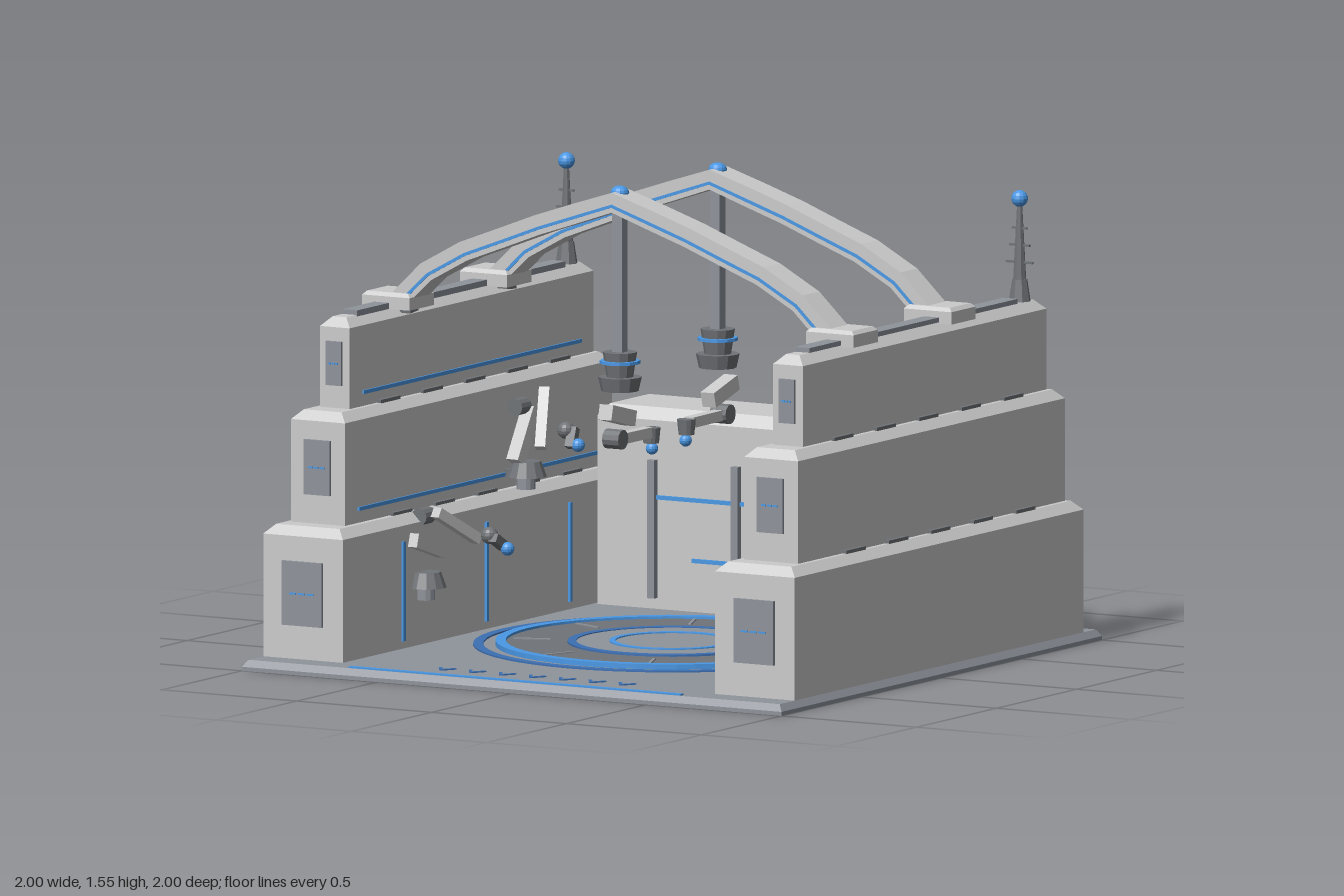
import * as THREE from 'three';

const mat = (color) => new THREE.MeshStandardMaterial({ color, flatShading: true });
const grey = mat(0xcccccc), slate = mat(0x8f949b), dark = mat(0x707377);
const blue = mat(0x4a98e6), navy = mat(0x3d70b4);
const V = (x, y, z) => new THREE.Vector3(x, y, z);

function add(parent, name, geometry, material, x = 0, y = 0, z = 0) {
  const mesh = new THREE.Mesh(geometry, material);
  mesh.name = name;
  mesh.position.set(x, y, z);
  parent.add(mesh);
  return mesh;
}
const box = (p, name, m, w, h, d, x, y, z) => add(p, name, new THREE.BoxGeometry(w, h, d), m, x, y, z);
const drum = (p, name, m, rTop, rBottom, h, x, y, z, sides = 12) =>
  add(p, name, new THREE.CylinderGeometry(rTop, rBottom, h, sides), m, x, y, z);
const ball = (p, name, m, r, v) => add(p, name, new THREE.SphereGeometry(r, 12, 8), m, v.x, v.y, v.z);

// Block standing on y0 with its upper edges chamfered by c (inset) and ch (height)
function block(p, name, m, x0, x1, y0, y1, z0, z1, c, ch = c) {
  const w = x1 - x0, h = y1 - y0, d = z1 - z0;
  const g = new THREE.BoxGeometry(w, h, d, 1, 2, 1);
  const a = g.attributes.position;
  for (let i = 0; i < a.count; i++) {
    if (Math.abs(a.getY(i)) < 1e-6) a.setY(i, h / 2 - ch);
    else if (a.getY(i) > 0) {
      a.setX(i, a.getX(i) - Math.sign(a.getX(i)) * c);
      a.setZ(i, a.getZ(i) - Math.sign(a.getZ(i)) * c);
    }
  }
  const flat = g.toNonIndexed();
  flat.computeVertexNormals();
  return add(p, name, flat, m, (x0 + x1) / 2, (y0 + y1) / 2, (z0 + z1) / 2);
}

// Square bar between two points
function bar(p, name, m, a, b, w, h = w) {
  const mesh = box(p, name, m, w, h, a.distanceTo(b), 0, 0, 0);
  mesh.position.copy(a).lerp(b, 0.5);
  mesh.lookAt(b);
  return mesh;
}

// Flat raised ring lying on the floor
function ring(p, name, m, inner, outer, y, h) {
  const s = new THREE.Shape().absarc(0, 0, outer, 0, Math.PI * 2);
  s.holes.push(new THREE.Path().absarc(0, 0, inner, 0, Math.PI * 2, true));
  const g = new THREE.ExtrudeGeometry(s, { depth: h, bevelEnabled: false, curveSegments: 28 });
  add(p, name, g.rotateX(-Math.PI / 2), m, 0, y, 0);
}

function makeFloor() {
  const g = new THREE.Group();
  g.name = 'floor';
  block(g, 'basePlate', slate, -1, 1, 0, 0.035, -1, 1, 0.015, 0.022);
  drum(g, 'platform', dark, 0.54, 0.54, 0.01, 0, 0.038, 0, 40);
  drum(g, 'innerPlatform', slate, 0.31, 0.31, 0.01, 0, 0.041, 0, 40);
  ring(g, 'outerRing', navy, 0.602, 0.634, 0.033, 0.007);
  ring(g, 'platformRing', blue, 0.53, 0.563, 0.033, 0.018);
  ring(g, 'middleRing', navy, 0.305, 0.333, 0.04, 0.009);
  ring(g, 'centreRing', blue, 0.18, 0.2, 0.04, 0.01);
  for (let i = 0; i < 8; i++) {
    const a = Math.PI / 8 + i * Math.PI / 4;
    const spoke = box(g, 'spoke', slate, 0.12, 0.006, 0.01, Math.cos(a) * 0.45, 0.044, Math.sin(a) * 0.45);
    spoke.rotation.y = -a;
  }
  // Entrance strip and arrow marks
  box(g, 'entranceStrip', blue, 1.23, 0.008, 0.018, 0, 0.036, 0.973);
  for (let i = -3; i <= 3; i++) for (const s of [-1, 1])
    bar(g, 'arrowMark', navy, V(i * 0.111 + s * 0.028, 0.036, 0.835), V(i * 0.111, 0.036, 0.88), 0.011, 0.006);
  return g;
}

// Stepped side wall, built for side s (+1 or -1)
function makeWall(s) {
  const g = new THREE.Group();
  g.name = s > 0 ? 'leftWall' : 'rightWall';
  const tiers = [ // inner x, outer x, bottom, top, back z, front z, panel (w, y0, y1)
    [0.69, 0.985, 0.03, 0.46, -0.91, 0.892, 0.147, 0.143, 0.35],
    [0.74, 0.94, 0.45, 0.82, -0.87, 0.795, 0.097, 0.553, 0.73],
    [0.785, 0.895, 0.81, 1.11, -0.83, 0.69, 0.057, 0.893, 1.035],
  ];
  tiers.forEach(([xi, xo, y0, y1, z0, z1, pw, p0, p1], i) => {
    block(g, 'wallTier', grey, Math.min(s * xi, s * xo), Math.max(s * xi, s * xo), y0, y1, z0, z1, 0.03);
    const cx = s * (xi + xo) / 2, cy = (p0 + p1) / 2;
    box(g, 'endPanel', slate, pw, p1 - p0, 0.014, cx, cy, z1 + 0.003);
    for (const k of [-1, 0, 1])
      box(g, 'panelLight', blue, pw * 0.17, 0.006, 0.006, cx + k * pw * 0.22, cy, z1 + 0.01);
    if (i > 0) {
      box(g, 'lightStrip', blue, 0.008, 0.012, z1 - z0 - 0.16, s * (xi - 0.002), y0 + 0.055, (z0 + z1) / 2);
      // Low vents along the ledges
      for (let k = 0; k < 5; k++) for (const x of [xi - 0.008, xo + 0.008])
        box(g, 'ledgeVent', dark, 0.016, 0.02, 0.12, s * x, y0 + 0.01, 0.46 - k * 0.265);
    }
  });
  for (const z of [-0.52, 0, 0.52]) box(g, 'verticalLight', blue, 0.01, 0.32, 0.014, s * 0.687, 0.22, z);
  box(g, 'topRail', slate, 0.055, 0.02, 1.3, s * 0.838, 1.115, -0.05);

  // Antenna
  const ax = s * 0.84, az = -0.755;
  drum(g, 'antennaBase', dark, 0.025, 0.036, 0.07, ax, 1.145, az, 8);
  drum(g, 'antennaMast', dark, 0.008, 0.022, 0.26, ax, 1.3, az, 8);
  [[1.235, 0.1], [1.29, 0.075], [1.345, 0.055]].forEach(([y, w]) =>
    box(g, 'antennaBar', dark, w, 0.007, 0.007, ax, y, az));
  ball(g, 'antennaBall', blue, 0.027, V(ax, 1.44, az));
  return g;
}

function makeBackWall() {
  const g = new THREE.Group();
  g.name = 'backWall';
  block(g, 'backBlock', grey, -0.675, 0.675, 0.03, 0.68, -0.972, -0.67, 0.03, 0.038);
  for (const x of [-0.465, -0.155, 0.155, 0.465]) box(g, 'rib', slate, 0.026, 0.445, 0.024, x, 0.293, -0.66);
  box(g, 'wideLight', blue, 0.93, 0.013, 0.012, 0, 0.395, -0.667);
  box(g, 'narrowLight', blue, 0.64, 0.013, 0.012, 0, 0.2, -0.667);
  return g;
}

// Closed band following the arch line, between two offsets from it
function bandGeometry(lo, hi, depth) {
  const half = [[0, 1.503], [0.14, 1.457], [0.275, 1.412], [0.41, 1.36], [0.55, 1.307], [0.69, 1.23], [0.8, 1.125]];
  const line = [...half.slice(1).reverse().map(([x, y]) => [-x, y]), ...half];
  const off = (t) => line.map(([x, y], i) => {
    const a = line[Math.max(i - 1, 0)], b = line[Math.min(i + 1, line.length - 1)];
    const dx = b[0] - a[0], dy = b[1] - a[1], l = Math.hypot(dx, dy);
    return new THREE.Vector2(x - dy / l * t, y + dx / l * t);
  });
  const shape = new THREE.Shape([...off(lo), ...off(hi).reverse()]);
  return new THREE.ExtrudeGeometry(shape, { depth, bevelEnabled: false }).translate(0, 0, -depth / 2);
}

// Arch with feet, hanging column and arm reaching toward the centre (dir = +-1 in z)
function makeArch(z, dir) {
  const g = new THREE.Group();
  g.name = 'arch';
  g.position.z = z;
  add(g, 'archBeam', bandGeometry(-0.032, 0.032, 0.104), grey);
  add(g, 'archLight', bandGeometry(-0.016, -0.006, 0.11), blue);
  for (const s of [-1, 1]) {
    block(g, 'archFoot', grey, s * 0.823 - 0.088, s * 0.823 + 0.088, 1.105, 1.157, -0.076, 0.076, 0.012);
    bar(g, 'footBrace', dark, V(s * 0.775, 1.08, 0), V(s * 0.8, 1.13, 0), 0.05, 0.03);
  }
  const cap = ball(g, 'crownLight', blue, 0.03, V(0, 1.53, 0));
  cap.scale.y = 0.75;
  // Hanging column and turntable
  box(g, 'column', slate, 0.036, 0.47, 0.036, 0, 1.245, 0);
  drum(g, 'upperCollar', dark, 0.055, 0.042, 0.085, 0, 0.975, 0);
  drum(g, 'collarLight', blue, 0.065, 0.065, 0.01, 0, 0.985, 0);
  drum(g, 'turntable', dark, 0.07, 0.06, 0.045, 0, 0.915, 0);
  // Jointed arm
  const shoulder = V(0, 0.89, 0), elbow = V(0, 0.74, -dir * 0.03), wrist = V(0, 0.735, dir * 0.18);
  bar(g, 'upperArm', grey, shoulder, elbow, 0.05);
  drum(g, 'elbowJoint', dark, 0.032, 0.032, 0.06, 0, 0.74, elbow.z).rotation.z = Math.PI / 2;
  bar(g, 'forearm', grey, elbow, wrist, 0.034);
  drum(g, 'wristJoint', dark, 0.03, 0.025, 0.05, 0, 0.725, dir * 0.195);
  ball(g, 'toolTip', blue, 0.02, V(0, 0.682, dir * 0.2));
  return g;
}

// Wall arm: base height y, base z, and z offset of the tip
function makeWallArm(s, y, z, reach) {
  const g = new THREE.Group();
  g.name = 'wallArm';
  g.position.set(0, y, z);
  const elbow = V(s * 0.695, 0.225, reach * 0.15), wrist = V(s * 0.505, 0.165, reach * 0.8);
  box(g, 'bracket', dark, 0.09, 0.025, 0.06, s * 0.71, 0.01, 0);
  drum(g, 'basePin', slate, 0.03, 0.03, 0.04, s * 0.675, -0.02, 0);
  drum(g, 'armBase', dark, 0.046, 0.064, 0.05, s * 0.672, 0.025, 0);
  bar(g, 'upperArm', grey, V(s * 0.67, 0.04, 0), elbow, 0.045);
  drum(g, 'elbowJoint', dark, 0.028, 0.028, 0.06, elbow.x, elbow.y, elbow.z).rotation.x = Math.PI / 2;
  bar(g, 'forearm', grey, elbow, wrist, 0.034);
  const tip = V(s * 0.455, 0.122, reach);
  ball(g, 'wristJoint', dark, 0.028, wrist);
  bar(g, 'tool', dark, wrist, tip, 0.03);
  ball(g, 'toolTip', blue, 0.022, tip);
  return g;
}

export function createModel() {
  const model = new THREE.Group();
  model.name = 'assemblyBay';
  model.add(makeFloor(), makeBackWall(), makeArch(0.325, -1), makeArch(-0.285, 1));
  for (const s of [-1, 1])
    model.add(makeWall(s), makeWallArm(s, 0.5, -0.225, 0.045), makeWallArm(s, 0.22, 0.4, -0.14));
  return model;
}
